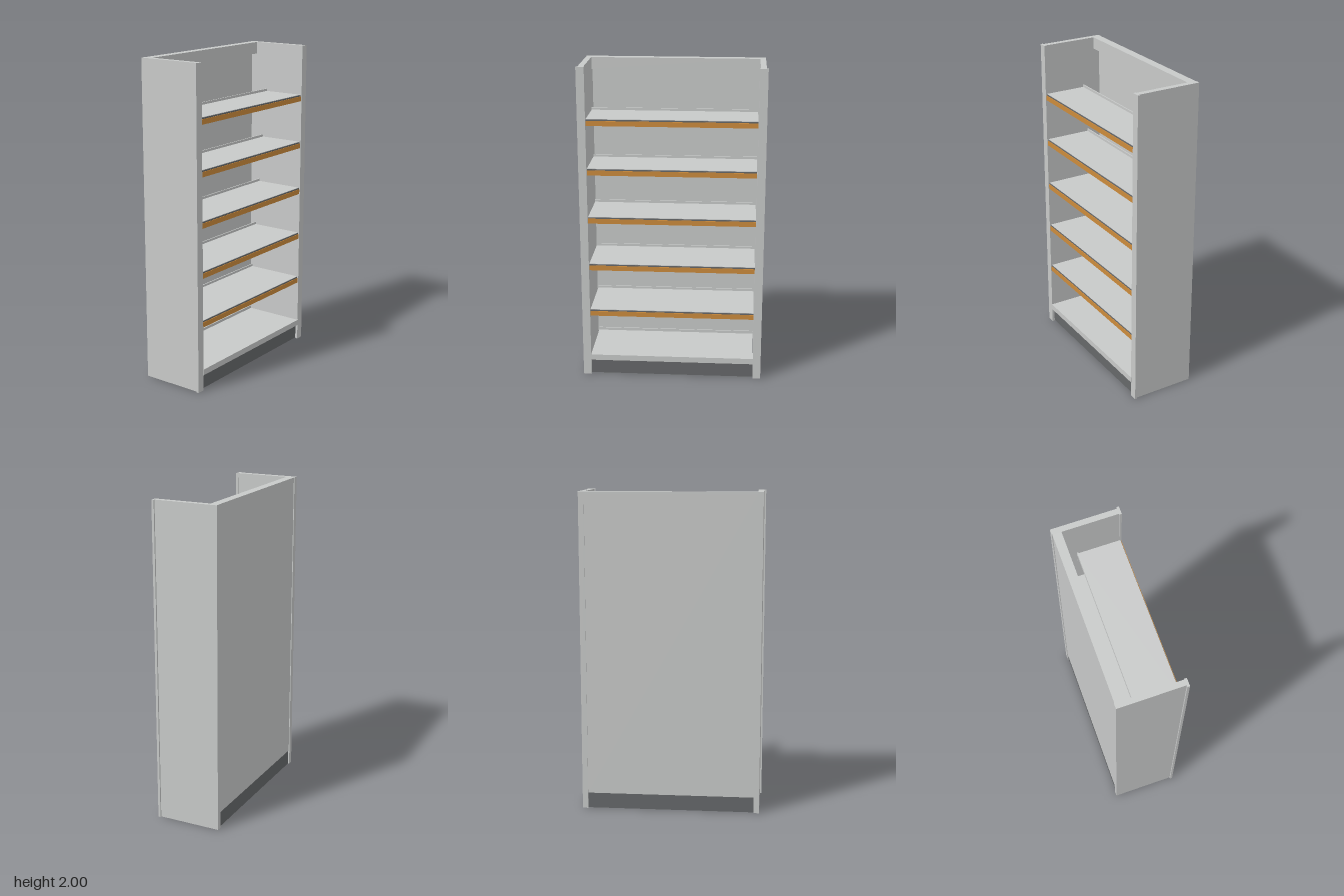
import * as THREE from 'three';

export function createModel() {
  const model = new THREE.Group();
  model.name = 'shelvingUnit';

  const material = (name, color) => {
    const m = new THREE.MeshStandardMaterial({ color });
    m.name = name;
    return m;
  };
  const steel = material('light grey steel', 0xc8cac9);
  const dark = material('dark grey plinth', 0x66686a);
  const orange = material('orange ticket strip', 0xcc8b3c);

  // Box given by its limits on each axis
  const box = (name, mat, [x0, x1], [y0, y1], [z0, z1], parent = model) => {
    const mesh = new THREE.Mesh(new THREE.BoxGeometry(x1 - x0, y1 - y0, z1 - z0), mat);
    mesh.position.set((x0 + x1) / 2, (y0 + y1) / 2, (z0 + z1) / 2);
    mesh.name = name;
    parent.add(mesh);
    return mesh;
  };
  // Same box on the left or right side
  const sideBox = (name, mat, s, [x0, x1], y, z, parent) =>
    box(name, mat, s > 0 ? [x0, x1] : [-x1, -x0], y, z, parent);

  // Side walls with wider front posts
  for (const s of [1, -1]) {
    const label = s > 0 ? 'left' : 'right';
    sideBox(label + 'SidePanel', steel, s, [0.525, 0.56], [0, 2], [-0.207, 0.192]);
    sideBox(label + 'FrontPost', steel, s, [0.52, 0.57], [0, 2], [0.192, 0.207]);
  }

  // Back panel, top rail and plinth
  box('backPanel', steel, [-0.525, 0.525], [0.1, 1.985], [-0.202, -0.19]);
  box('topRail', steel, [-0.525, 0.525], [1.925, 2], [-0.19, -0.15]);
  box('topRailCap', steel, [-0.525, 0.525], [1.985, 2], [-0.204, -0.19]);
  box('plinth', dark, [-0.525, 0.525], [0.002, 0.1], [-0.199, 0.188]);

  // Base shelf with front fascia and rear lip
  box('baseShelf', steel, [-0.52, 0.52], [0.1, 0.137], [-0.19, 0.195]);
  box('baseFascia', steel, [-0.525, 0.525], [0.1, 0.137], [0.192, 0.209]);
  box('baseRearLip', steel, [-0.52, 0.52], [0.137, 0.155], [-0.19, -0.183]);

  // Five upper shelves, each shallower than the one below
  for (let i = 1; i <= 5; i++) {
    const top = 0.14 + i * 0.309;
    const back = -0.18 + (i - 1) * 0.027;
    const shelf = new THREE.Group();
    shelf.name = 'shelf' + i;
    model.add(shelf);

    box('shelfBoard', steel, [-0.518, 0.518], [top - 0.022, top], [back, 0.194], shelf);
    box('rearLip', steel, [-0.518, 0.518], [top, top + 0.015], [back, back + 0.007], shelf);
    box('frontEdge', steel, [-0.518, 0.518], [top - 0.042, top], [0.19, 0.198], shelf);
    box('edgeGroove', dark, [-0.518, 0.518], [top - 0.011, top - 0.003], [0.198, 0.2], shelf);
    box('ticketStrip', orange, [-0.518, 0.518], [top - 0.042, top - 0.011], [0.198, 0.204], shelf);

    // Tapered end brackets, deepest at the back
    const profile = new THREE.Shape([
      new THREE.Vector2(-back, top - 0.085),
      new THREE.Vector2(-back - 0.06, top - 0.085),
      new THREE.Vector2(-0.188, top - 0.042),
      new THREE.Vector2(-0.188, top - 0.022),
      new THREE.Vector2(-back, top - 0.022),
    ]);
    for (const x of [-0.519, 0.514]) {
      const geometry = new THREE.ExtrudeGeometry(profile, { depth: 0.005, bevelEnabled: false });
      geometry.rotateY(Math.PI / 2);
      const bracket = new THREE.Mesh(geometry, steel);
      bracket.position.x = x;
      bracket.name = 'shelfBracket';
      shelf.add(bracket);
    }
  }
  return model;
}
